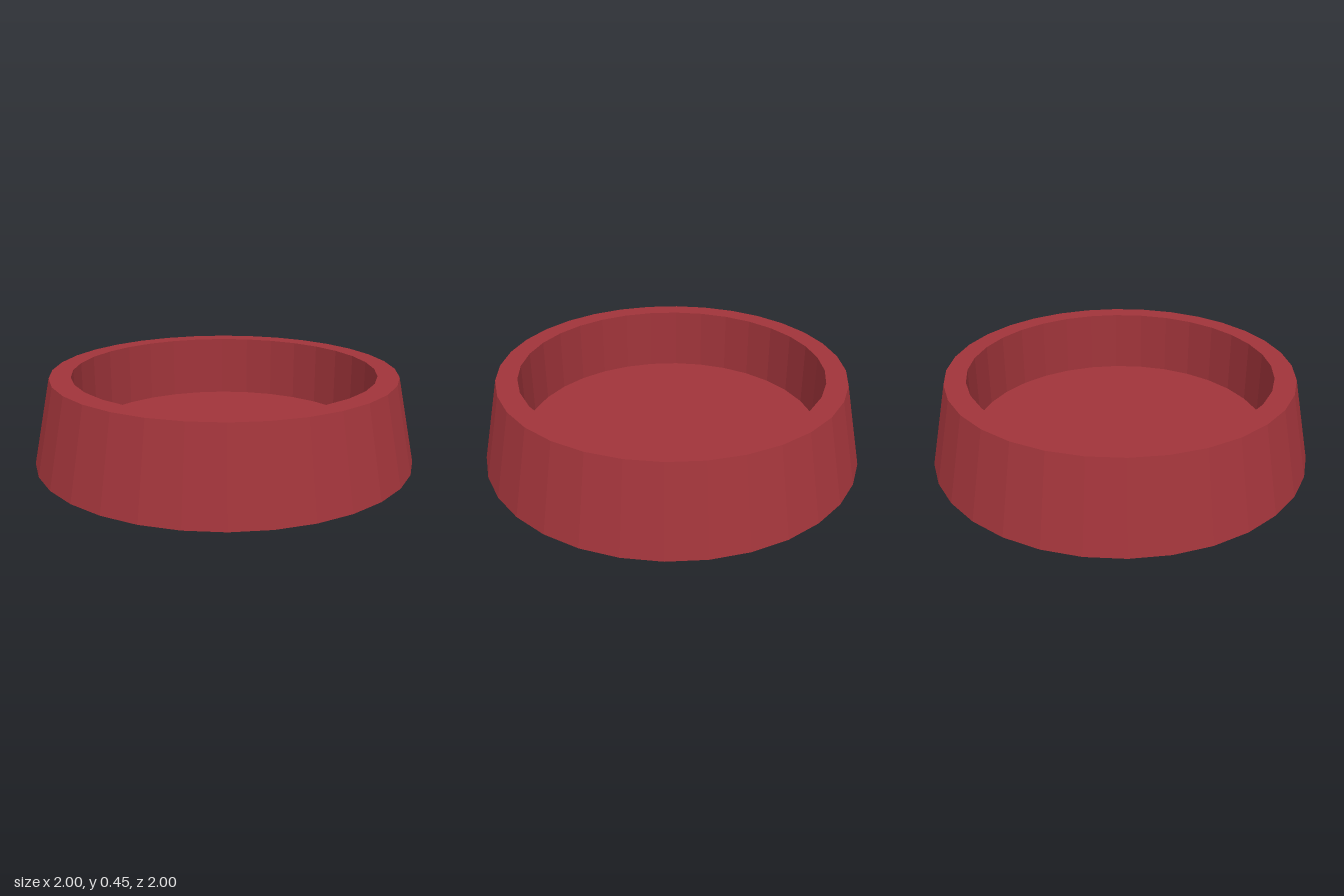
import * as THREE from 'three';

const SIDES = 32;

export function createModel() {
  const group = new THREE.Group();
  group.name = 'bowl';

  // Closed profile: underside, sloping outer wall, flat rim, straight inner wall, floor
  const profile = [
    [0, 0], [1, 0], [0.905, 0.45], [0.795, 0.45], [0.795, 0.105], [0, 0.105],
  ].map(([r, y]) => new THREE.Vector2(r, y));

  // Non-indexed so every facet keeps its own flat normal
  const geometry = new THREE.LatheGeometry(profile, SIDES).toNonIndexed();
  geometry.computeVertexNormals();

  const material = new THREE.MeshStandardMaterial({ color: 0xa0343a, flatShading: true });
  const body = new THREE.Mesh(geometry, material);
  body.name = 'bowlBody';
  group.add(body);
  return group;
}
